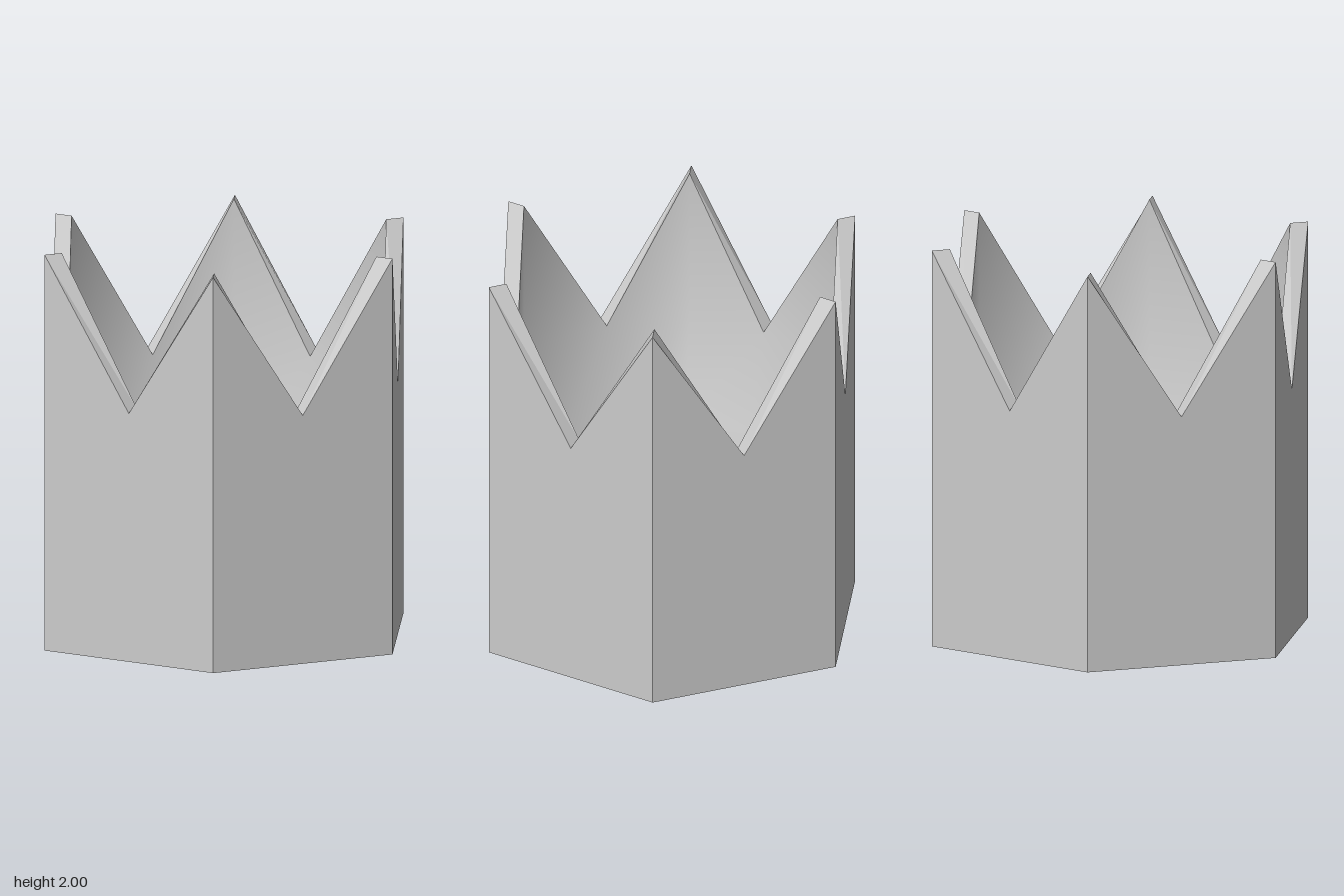
import * as THREE from 'three';
import { mergeVertices } from 'three/addons/utils/BufferGeometryUtils.js';

const SIDES = 6, STEPS = SIDES * 2;
const VALLEY = 1.255, PEAK = 2;

// Ring of twelve points: hexagon corners alternating with side midpoints.
function ring(radius, cornerY, midY = cornerY, round = false) {
  return Array.from({ length: STEPS }, (_, i) => {
    const a = (i / STEPS) * Math.PI * 2;
    const mid = i % 2 === 1;
    const r = mid && !round ? radius * Math.cos(Math.PI / SIDES) : radius;
    return new THREE.Vector3(r * Math.cos(a), mid ? midY : cornerY, r * Math.sin(a));
  });
}

// Skin successive rings; either faceted or smoothly shaded.
function loft(name, rings, smooth) {
  const pos = [];
  const tri = (...pts) => {
    const [p, q, r] = pts;
    const area = q.clone().sub(p).cross(r.clone().sub(p)).length();
    if (area > 1e-6) pts.forEach((v) => pos.push(v.x, v.y, v.z));
  };
  for (let k = 0; k < rings.length - 1; k++) {
    const u = rings[k], l = rings[k + 1];
    for (let i = 0; i < STEPS; i++) {
      const j = (i + 1) % STEPS;
      tri(u[i], l[i], u[j]);
      tri(u[j], l[i], l[j]);
    }
  }
  let geo = new THREE.BufferGeometry();
  geo.setAttribute('position', new THREE.Float32BufferAttribute(pos, 3));
  if (smooth) geo = mergeVertices(geo, 1e-4);
  geo.computeVertexNormals();
  const mesh = new THREE.Mesh(geo, new THREE.MeshStandardMaterial({ color: 0xcccccc, flatShading: !smooth }));
  mesh.name = name;
  return mesh;
}

export function createModel() {
  const group = new THREE.Group();
  group.name = 'hexagonalCrownCup';

  const base = ring(0.995, 0);
  const outerRim = ring(0.995, PEAK, VALLEY);
  const innerRim = ring(0.9, PEAK, VALLEY);

  // Flat underside, hexagonal outer wall and zigzag rim
  group.add(loft('underside', [ring(0, 0), base], false));
  group.add(loft('outerWall', [base, outerRim], false));
  group.add(loft('zigzagRim', [outerRim, innerRim], false));

  // Hollow: straight points above, blending from a hexagon into a round bowl
  const hollow = [innerRim, ring(0.9, VALLEY)];
  const bowlSteps = 7;
  for (let k = 0; k <= bowlSteps; k++) {
    const t = (k / bowlSteps) * Math.PI / 2;
    const r = k === bowlSteps ? 0 : 0.67 * Math.cos(t);
    hollow.push(ring(r, 0.75 - 0.6 * Math.sin(t), undefined, true));
  }
  group.add(loft('innerBowl', hollow, true));

  return group;
}
